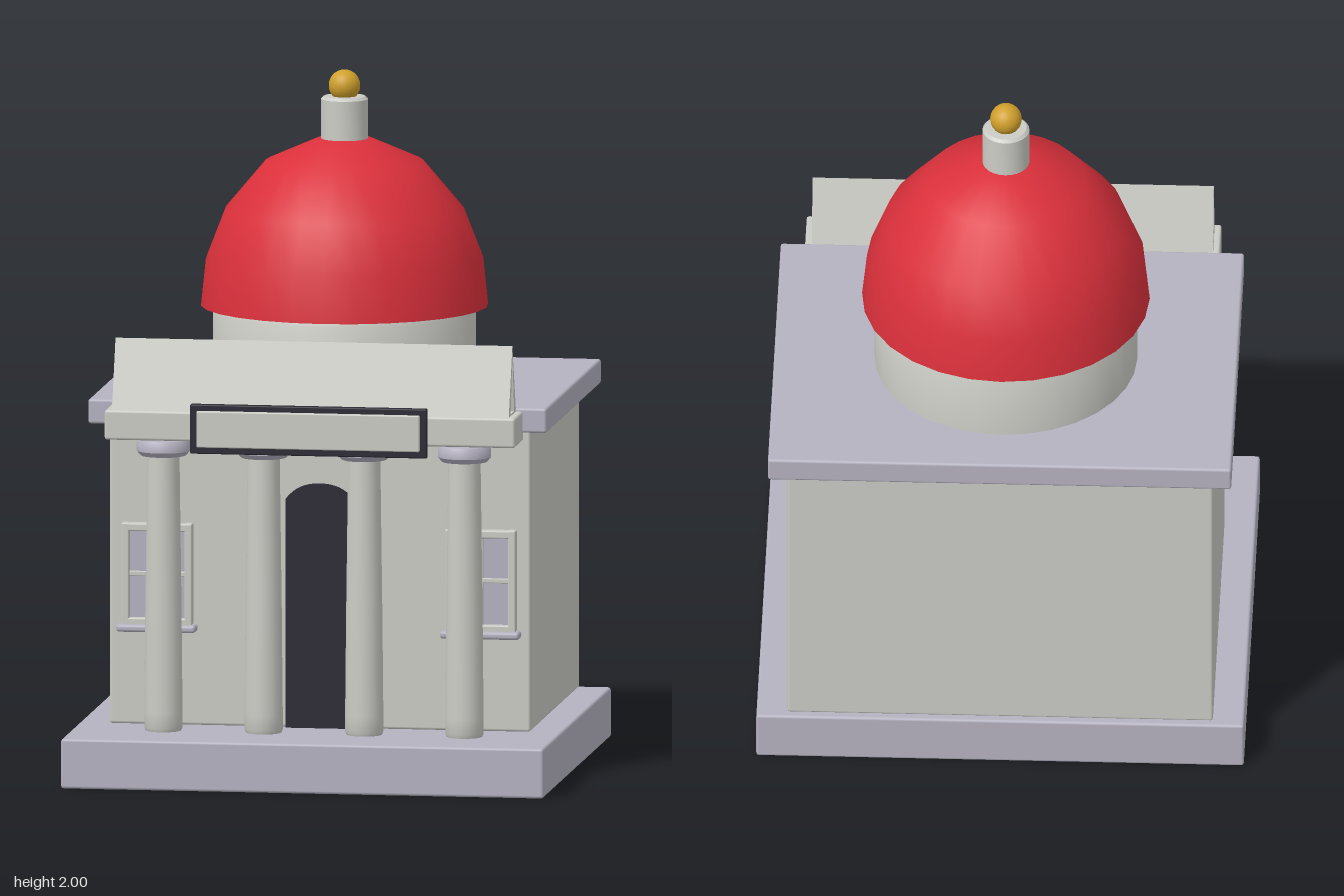
import * as THREE from 'three';
import { toCreasedNormals } from 'three/addons/utils/BufferGeometryUtils.js';
import { RoundedBoxGeometry } from 'three/addons/geometries/RoundedBoxGeometry.js';

const mat = (name, color) => Object.assign(new THREE.MeshStandardMaterial({ color }), { name });

export function createModel() {
  const model = new THREE.Group();
  model.name = 'domedBuilding';
  const stone = mat('paleStone', 0xcbccc5);
  const slab = mat('lavenderStone', 0xb5b2c0);
  const red = mat('domeRed', 0xda303b);
  const gold = mat('gold', 0xd0a02c);
  const dark = mat('darkTrim', 0x2b2a34);

  const add = (name, geometry, material, x = 0, y = 0, z = 0, parent = model) => {
    const mesh = new THREE.Mesh(geometry, material);
    mesh.name = name;
    mesh.position.set(x, y, z);
    parent.add(mesh);
    return mesh;
  };
  // Box given by its limits, with softly rounded edges
  const box = (name, material, x0, x1, y0, y1, z0, z1, r = 0.008, parent = model) =>
    add(name, new RoundedBoxGeometry(x1 - x0, y1 - y0, z1 - z0, 2, r), material,
      (x0 + x1) / 2, (y0 + y1) / 2, (z0 + z1) / 2, parent);
  // Turned part from [radius, height] pairs, bottom to top
  const turned = (name, material, points, x, z, sides = 32) =>
    add(name, toCreasedNormals(new THREE.LatheGeometry(
      points.map(([r, y]) => new THREE.Vector2(r, y)), sides), 0.7), material, x, 0, z);

  // Plinth, hall and flat roof
  box('plinth', slab, -0.705, 0.705, 0, 0.145, -0.635, 0.67);
  box('hall', stone, -0.615, 0.615, 0.145, 1.03, -0.615, 0.325);
  box('roofSlab', slab, -0.67, 0.67, 1.025, 1.097, -0.672, 0.377);

  // Drum, dome, lantern and finial
  const cz = -0.145;
  turned('drum', stone, [[0, 1.09], [0.38, 1.09], [0.38, 1.3], [0.37, 1.32], [0, 1.32]], 0, cz);
  turned('dome', red, [[0.37, 1.315], [0.416, 1.315], [0.402, 1.45], [0.346, 1.595],
    [0.228, 1.735], [0.08, 1.8], [0, 1.802]], 0, cz, 28);
  turned('lantern', stone, [[0, 1.79], [0.068, 1.79], [0.068, 1.915], [0.06, 1.923], [0, 1.923]], 0, cz, 24);
  add('finial', new THREE.SphereGeometry(0.046, 20, 14), gold, 0, 1.954, cz);

  // Portico columns with capitals
  for (const x of [-0.44, -0.147, 0.147, 0.44]) {
    turned('column', stone, [[0, 0.145], [0.052, 0.145], [0.056, 0.155], [0.056, 0.2], [0.053, 0.5],
      [0.047, 0.955], [0, 0.955]], x, 0.44, 20);
    turned('capital', slab, [[0, 0.948], [0.066, 0.948], [0.078, 0.962], [0.078, 0.982],
      [0.07, 0.994], [0, 1.002]], x, 0.44, 20);
  }
  box('entablature', stone, -0.6, 0.6, 1.0, 1.087, 0.355, 0.525);

  // Gabled roof of the portico with recessed ends
  const triangle = (Type, w, y0, y1) => new Type([
    new THREE.Vector2(-w, y0), new THREE.Vector2(w, y0), new THREE.Vector2(0, y1)]);
  const gable = triangle(THREE.Shape, 0.07, 1.085, 1.287);
  gable.holes.push(triangle(THREE.Path, 0.034, 1.092, 1.262));
  const shell = new THREE.ExtrudeGeometry(gable, { depth: 1.16, bevelEnabled: false });
  shell.translate(0, 0, -0.58).rotateY(Math.PI / 2);
  add('gableRoof', shell, stone, 0, 0, 0.44);
  const core = new THREE.ExtrudeGeometry(triangle(THREE.Shape, 0.04, 1.09, 1.27),
    { depth: 1.12, bevelEnabled: false });
  core.translate(0, 0, -0.56).rotateY(Math.PI / 2);
  add('gableEnds', core, stone, 0, 0, 0.44);

  // Blank sign board with dark frame
  box('signFrame', dark, -0.346, 0.346, 0.968, 1.112, 0.525, 0.548, 0.004);
  box('signPanel', stone, -0.326, 0.326, 0.988, 1.094, 0.535, 0.562, 0.004);

  // Arched door
  const arch = new THREE.Shape();
  arch.moveTo(-0.096, 0.147);
  arch.lineTo(0.096, 0.147);
  arch.lineTo(0.096, 0.815);
  arch.quadraticCurveTo(0.065, 0.858, 0, 0.858);
  arch.quadraticCurveTo(-0.065, 0.858, -0.096, 0.815);
  add('door', new THREE.ExtrudeGeometry(arch, { depth: 0.035, bevelEnabled: false, curveSegments: 8 }),
    dark, 0, 0, 0.318);

  // Windows with frame, panes, glazing bars and sill
  for (const side of [-1, 1]) {
    const win = new THREE.Group();
    win.name = side > 0 ? 'leftWindow' : 'rightWindow';
    win.position.x = side * 0.473;
    model.add(win);
    for (const s of [-1, 1]) {
      const x = s * 0.092;
      box('frameSide', stone, x - 0.011, x + 0.011, 0.43, 0.735, 0.32, 0.358, 0.004, win);
      const y = s > 0 ? 0.723 : 0.447;
      box('frameRail', stone, -0.1, 0.1, y - 0.011, y + 0.011, 0.32, 0.358, 0.004, win);
    }
    box('panes', slab, -0.085, 0.085, 0.45, 0.715, 0.32, 0.334, 0.003, win);
    box('uprightBar', stone, -0.006, 0.006, 0.45, 0.715, 0.322, 0.343, 0.002, win);
    box('crossBar', stone, -0.085, 0.085, 0.58, 0.593, 0.322, 0.343, 0.002, win);
    box('sill', slab, -0.116, 0.116, 0.419, 0.441, 0.32, 0.378, 0.009, win);
  }
  return model;
}
